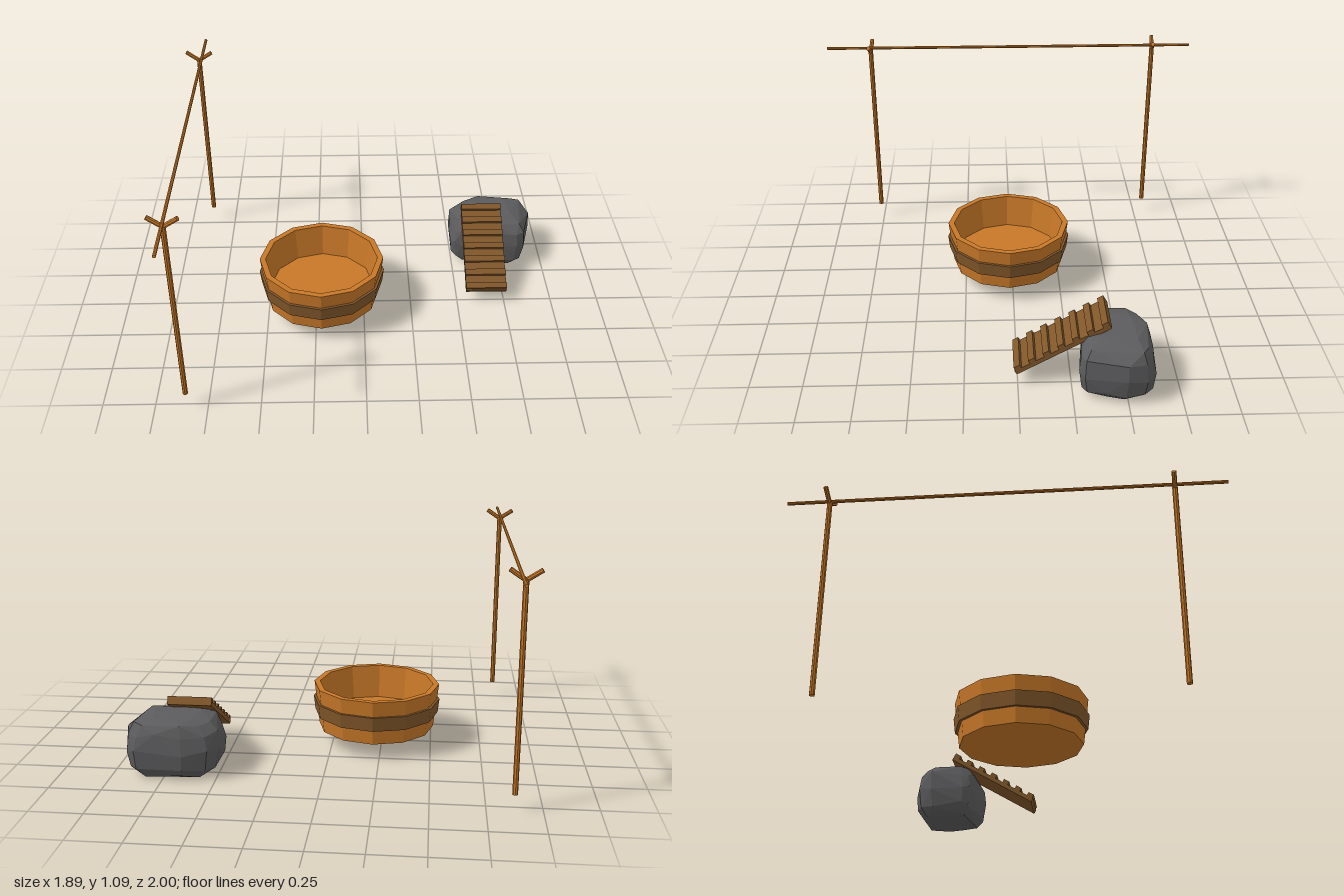
import * as THREE from 'three';
import { ConvexGeometry } from 'three/addons/geometries/ConvexGeometry.js';

const mat = (color) => new THREE.MeshStandardMaterial({ color, flatShading: true });
const V = (x, y, z) => new THREE.Vector3(x, y, z);

export function createModel() {
  const root = new THREE.Group();
  const wood = mat(0xc87828), darkWood = mat(0x80562a), stone = mat(0x5c5c5e);

  const add = (parent, name, geometry, material) => {
    const mesh = new THREE.Mesh(geometry, material);
    mesh.name = name;
    parent.add(mesh);
    return mesh;
  };

  // Round pole between two points
  const pole = (parent, name, a, b, radius) => {
    const dir = b.clone().sub(a);
    const mesh = add(parent, name, new THREE.CylinderGeometry(radius, radius, dir.length(), 8), wood);
    mesh.position.copy(a).add(b).multiplyScalar(0.5);
    mesh.quaternion.setFromUnitVectors(V(0, 1, 0), dir.normalize());
  };

  // Twelve-sided tub with a raised floor inside
  const lathe = (points) => new THREE.LatheGeometry(points.map(([r, y]) => new THREE.Vector2(r, y)), 12);
  const tub = new THREE.Group();
  tub.name = 'tub';
  tub.position.set(-0.218, 0, 0.02);
  add(tub, 'tubShell', lathe([
    [0, 0.08], [0.293, 0.08], [0.319, 0.305], [0.289, 0.305], [0.267, 0.135], [0, 0.135],
  ]), wood);
  add(tub, 'tubBand', lathe([
    [0.295, 0.155], [0.315, 0.155], [0.323, 0.227], [0.3, 0.227],
  ]), darkWood);
  root.add(tub);

  // Forked posts carrying the long bar
  const rack = new THREE.Group();
  rack.name = 'rack';
  for (const [x, z] of [[-0.851, 0.763], [-0.872, -0.797]]) {
    pole(rack, 'post', V(x, 0.083, z), V(x, 1.045, z), 0.0125);
    for (const side of [-1, 1]) {
      pole(rack, 'forkArm', V(x, 1.038, z), V(x + side * 0.067, 1.083, z + side * 0.005), 0.011);
    }
  }
  pole(rack, 'crossBar', V(-0.856, 1.06, -1), V(-0.85, 1.06, 1), 0.008);
  root.add(rack);

  // Sloping ramp with seven treads, leaning on the rock
  const ramp = new THREE.Group();
  ramp.name = 'ramp';
  ramp.position.set(0.653, 0.193, -0.206);
  ramp.rotation.x = 0.53;
  add(ramp, 'rampBoard', new THREE.BoxGeometry(0.215, 0.022, 0.5), darkWood);
  for (let i = 0; i < 7; i++) {
    add(ramp, 'tread', new THREE.BoxGeometry(0.215, 0.02, 0.032), darkWood)
      .position.set(0, 0.02, -0.234 + i * 0.077);
  }
  root.add(ramp);

  // Faceted rock: one outline, shrunk towards the top and bottom
  const outline = [
    [0.49, -0.36], [0.492, -0.53], [0.535, -0.6], [0.65, -0.632], [0.78, -0.617], [0.88, -0.622],
    [0.922, -0.58], [0.942, -0.49], [0.912, -0.39], [0.89, -0.3], [0.85, -0.275], [0.7, -0.292],
    [0.55, -0.312], [0.51, -0.325],
  ];
  const levels = [[0.01, 0.78], [0.045, 0.93], [0.135, 1], [0.215, 0.95], [0.262, 0.8], [0.277, 0.5]];
  const points = [];
  levels.forEach(([y, s], k) => outline.forEach(([x, z], i) => {
    const wobble = Math.sin(i * 2.3 + k * 1.7);
    const t = k === 2 ? 1 : s + 0.035 * wobble;
    points.push(V(0.715 + (x - 0.715) * t, Math.max(0, y + 0.012 * wobble * (k < 4 ? 1 : 0.4)), -0.45 + (z + 0.45) * t));
  }));
  add(root, 'rock', new ConvexGeometry(points), stone);

  return root;
}
